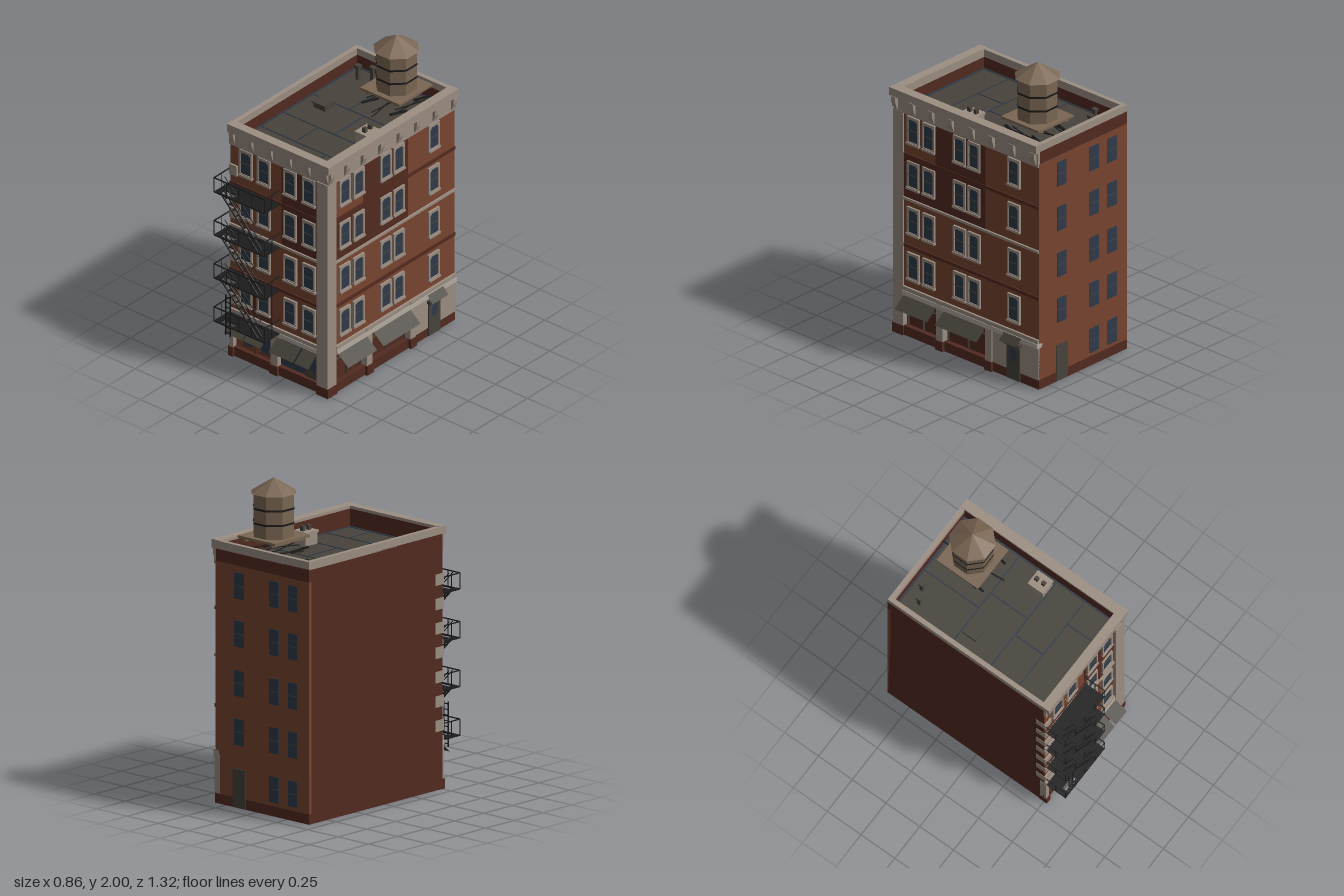
import * as THREE from 'three';

const mat = (name, color, extra = {}) => Object.assign(new THREE.MeshStandardMaterial({ color, ...extra }), { name });
const M = {
  brick: mat('brick', 0x78442f),
  dark: mat('dark brick', 0x522a21),
  stone: mat('stone', 0x9c8e82),
  pale: mat('pale stone', 0xb3aba0),
  glass: mat('glass', 0x2f3a48),
  charcoal: mat('charcoal', 0x47433b, { side: THREE.DoubleSide }),
  iron: mat('black iron', 0x1c1c1d),
  wood: mat('weathered wood', 0x7a6653),
};

function add(parent, name, geo, m, x = 0, y = 0, z = 0) {
  const mesh = new THREE.Mesh(geo, m);
  mesh.name = name;
  mesh.position.set(x, y, z);
  parent.add(mesh);
  return mesh;
}
// Box given by its two limits on each axis
const box = (p, name, m, x0, x1, y0, y1, z0, z1) =>
  add(p, name, new THREE.BoxGeometry(x1 - x0, y1 - y0, z1 - z0), m, (x0 + x1) / 2, (y0 + y1) / 2, (z0 + z1) / 2);
// Thin square bar between two points
function rod(p, name, a, b, t = 0.006) {
  const A = new THREE.Vector3(...a), B = new THREE.Vector3(...b);
  const mesh = add(p, name, new THREE.BoxGeometry(t, t, A.distanceTo(B)), M.iron);
  mesh.position.copy(A).add(B).multiplyScalar(0.5);
  mesh.lookAt(B);
  return mesh;
}
function group(parent, name, x = 0, y = 0, z = 0, ry = 0) {
  const g = new THREE.Group();
  g.name = name;
  g.position.set(x, y, z);
  g.rotation.y = ry;
  parent.add(g);
  return g;
}
// Rectangle outline with clipped upper corners
function outline(C, w, h, c) {
  return new C([[-w, -h], [w, -h], [w, h - c], [w - c, h], [c - w, h], [-w, h - c]].map(p => new THREE.Vector2(...p)));
}
const frameShape = outline(THREE.Shape, 0.05, 0.092, 0.002);
frameShape.holes.push(outline(THREE.Path, 0.037, 0.074, 0.014));
const frameGeo = new THREE.ExtrudeGeometry(frameShape, { depth: 0.014, bevelEnabled: false });

function framedWindow(p, x, y) {
  const w = group(p, 'window', x, y, 0);
  add(w, 'windowFrame', frameGeo, M.stone);
  box(w, 'windowGlass', M.glass, -0.04, 0.04, -0.078, 0.078, 0, 0.008);
  box(w, 'sashBar', M.charcoal, -0.037, 0.037, -0.003, 0.003, 0.007, 0.011);
  box(w, 'windowSill', M.stone, -0.052, 0.052, -0.094, -0.08, 0, 0.02);
}
// Sloping sheet awning in facade coordinates
function awning(p, x0, x1, y0, y1, z0, z1) {
  const sheet = add(p, 'awning', new THREE.PlaneGeometry(x1 - x0, Math.hypot(y1 - y0, z1 - z0)), M.charcoal, (x0 + x1) / 2, (y0 + y1) / 2, (z0 + z1) / 2);
  sheet.rotation.x = -Math.atan2(z1 - z0, y0 - y1);
}
function ovalPane(p, x, y, z) {
  const o = add(p, 'doorPane', new THREE.CircleGeometry(0.03, 20), M.glass, x, y, z);
  o.scale.y = 1.5;
}
const rows = [0.472, 0.772, 1.076, 1.372];

// Shared upper trim: bands between floors and cornice with brackets
function trim(f, x0, x1, brackets) {
  for (const y of [0.6, 1.2]) box(f, 'brickCourse', M.dark, x0, x1, y - 0.01, y + 0.01, 0, 0.008);
  box(f, 'beltCourse', M.stone, x0, x1, 0.902, 0.918, 0, 0.012);
  box(f, 'stoneBand', M.stone, x0, x1, 0.3, 0.328, -0.03, 0.014);
  box(f, 'shopFrieze', M.pale, x0, x1, 0.272, 0.302, -0.03, 0.018);
  const s = new THREE.Shape();
  s.moveTo(0, 0.09).lineTo(0.034, 0.09).lineTo(0.032, 0.055).lineTo(0.018, 0.012).lineTo(0, 0);
  const geo = new THREE.ExtrudeGeometry(s, { depth: 0.034, bevelEnabled: false });
  for (const x of brackets) add(f, 'corniceBracket', geo, M.stone, x + 0.017, 1.478, 0).rotation.y = -Math.PI / 2;
}

function building(root) {
  // Shell, with recessed ground floor
  box(root, 'groundFloor', M.dark, -0.43, 0.305, 0.002, 0.31, -0.655, 0.47);
  box(root, 'plinth', M.dark, -0.43, 0.338, 0, 0.062, -0.66, 0.505);
  box(root, 'upperWalls', M.brick, -0.425, 0.335, 0.3, 1.47, -0.655, 0.5);
  box(root, 'backWall', M.brick, -0.43, 0.335, 0.062, 1.49, -0.66, -0.64);
  box(root, 'leftWall', M.dark, -0.43, -0.415, 0.062, 1.56, -0.658, 0.5);
  box(root, 'cornerPier', M.stone, 0.26, 0.346, 0.062, 1.48, 0.44, 0.522);
  box(root, 'cornerPierBase', M.dark, 0.257, 0.35, 0, 0.063, 0.437, 0.526);
  // Parapet, frieze and coping
  box(root, 'leftParapet', M.dark, -0.43, -0.4, 1.46, 1.57, -0.66, 0.5);
  box(root, 'backParapet', M.dark, -0.43, 0.33, 1.49, 1.57, -0.66, -0.63);
  box(root, 'rightParapet', M.dark, 0.3, 0.325, 1.46, 1.6, -0.655, 0.495);
  box(root, 'frontParapet', M.dark, -0.425, 0.325, 1.46, 1.6, 0.475, 0.495);
  box(root, 'frontFrieze', M.stone, -0.43, 0.345, 1.47, 1.57, 0.494, 0.515);
  box(root, 'rightFrieze', M.stone, 0.324, 0.345, 1.47, 1.57, -0.66, 0.515);
  box(root, 'leftCoping', M.stone, -0.43, -0.4, 1.565, 1.615, -0.66, 0.535);
  box(root, 'backCoping', M.stone, -0.43, 0.365, 1.565, 1.615, -0.66, -0.63);
  box(root, 'rightCornice', M.stone, 0.3, 0.365, 1.565, 1.618, -0.66, 0.535);
  box(root, 'frontCornice', M.stone, -0.43, 0.365, 1.565, 1.618, 0.475, 0.535);
}

function frontFacade(root) {
  const f = group(root, 'frontFacade', 0, 0, 0.5);
  trim(f, -0.43, 0.26, [-0.4, -0.255, -0.105, 0.045, 0.19, 0.33]);
  for (const [x0, x1, y0, y1] of [[-0.03, 0.26, 0.92, 1.47], [-0.31, -0.1, 0.33, 0.6]])
    box(f, 'darkBrickPanel', M.dark, x0, x1, y0, y1, 0, 0.004);
  for (const y of rows) for (const x of [-0.305, -0.165, 0.04, 0.187]) framedWindow(f, x, y);
  // Corner quoins
  for (let y = 0.36; y < 1.4; y += 0.15) box(f, 'quoin', M.stone, -0.432, -0.372, y, y + 0.07, -0.06, 0.012);
  // Shopfronts
  for (const [x0, x1] of [[-0.43, -0.4], [-0.108, -0.052]]) {
    box(f, 'shopPier', M.stone, x0, x1, 0.06, 0.31, -0.035, 0.014);
    box(f, 'pierBase', M.dark, x0 - 0.003, x1 + 0.003, 0, 0.063, -0.035, 0.022);
  }
  box(f, 'shopPanel', M.brick, -0.4, -0.108, 0.06, 0.272, -0.03, -0.02);
  for (const x of [-0.305, -0.165]) {
    box(f, 'shopWindow', M.glass, x - 0.038, x + 0.038, 0.095, 0.2, -0.02, -0.014);
    box(f, 'windowRail', M.dark, x - 0.042, x + 0.042, 0.088, 0.096, -0.02, -0.01);
  }
  box(f, 'shopMullion', M.dark, -0.255, -0.245, 0.06, 0.272, -0.02, -0.012);
  box(f, 'displayWindow', M.glass, -0.052, 0.142, 0.065, 0.272, -0.03, -0.02);
  box(f, 'shopDoor', M.charcoal, 0.142, 0.26, 0.01, 0.272, -0.03, -0.014);
  ovalPane(f, 0.207, 0.16, -0.012);
  awning(f, -0.4, -0.255, 0.272, 0.205, 0.02, 0.1);
  awning(f, -0.25, -0.112, 0.272, 0.205, 0.02, 0.1);
  awning(f, -0.05, 0.14, 0.272, 0.205, 0.02, 0.1);
  awning(f, 0.15, 0.26, 0.272, 0.205, 0.02, 0.1);
}

function sideFacade(root) {
  // Local x runs towards the back
  const f = group(root, 'sideFacade', 0.335, 0, 0, Math.PI / 2);
  trim(f, -0.44, 0.66, [-0.5, -0.355, -0.2, -0.04, 0.13, 0.29, 0.46, 0.63]);
  box(f, 'darkBrickPanel', M.dark, -0.44, 0.225, 0.92, 1.19, 0, 0.004);
  box(f, 'darkBrickPanel', M.dark, -0.18, 0.225, 1.21, 1.47, 0, 0.004);
  for (const y of rows) for (const x of [-0.36, -0.233, 0.017, 0.135, 0.46]) framedWindow(f, x, y);
  // Shopfronts
  for (const [x0, x1] of [[-0.167, -0.113], [0.235, 0.285]]) {
    box(f, 'shopPier', M.stone, x0, x1, 0.06, 0.325, -0.035, 0.016);
    box(f, 'pierBase', M.dark, x0 - 0.003, x1 + 0.003, 0, 0.063, -0.035, 0.022);
  }
  for (const [x0, x1] of [[-0.44, -0.167], [-0.113, 0.235]]) {
    const mid = (x0 + x1) / 2;
    for (const x of [x0 + 0.01, mid, x1 - 0.01]) box(f, 'shopMullion', M.charcoal, x - 0.004, x + 0.004, 0.06, 0.272, -0.03, -0.02);
    box(f, 'shopRail', M.charcoal, x0, x1, 0.2, 0.207, -0.03, -0.02);
  }
  awning(f, -0.43, -0.165, 0.272, 0.205, 0.015, 0.095);
  awning(f, -0.105, 0.235, 0.272, 0.205, 0.015, 0.095);
  // Stone entrance
  box(f, 'entranceWall', M.stone, 0.28, 0.66, 0.062, 0.305, -0.04, 0.008);
  box(f, 'sideDoor', M.charcoal, 0.408, 0.512, 0.005, 0.24, 0, 0.014);
  ovalPane(f, 0.46, 0.17, 0.016);
  awning(f, 0.388, 0.532, 0.3, 0.255, 0.02, 0.06);
  box(f, 'doorLintel', M.charcoal, 0.395, 0.525, 0.235, 0.255, 0, 0.035);
}

function backFacade(root) {
  const f = group(root, 'backFacade', 0, 0, -0.66, Math.PI);
  for (const x of [-0.14, 0.145, 0.3]) for (const y of [0.165, ...rows.map(r => r - 0.005)]) {
    if (x < 0 && y < 0.2) continue;
    box(f, 'backWindow', M.glass, x - 0.04, x + 0.04, y - 0.08, y + 0.08, -0.003, 0.003);
    box(f, 'backSash', M.charcoal, x - 0.04, x + 0.04, y - 0.003, y + 0.003, 0, 0.005);
  }
  box(f, 'backDoor', M.charcoal, -0.19, -0.09, 0.005, 0.24, -0.003, 0.005);
}

function roof(root) {
  const r = group(root, 'roof', 0, 1.49, 0);
  box(r, 'roofDeck', M.charcoal, -0.4, 0.3, -0.02, 0, -0.63, 0.475);
  // Tar seams: x0, x1, z0, z1
  for (const [x0, x1, z0, z1] of [[-0.4, 0.3, -0.222, -0.214], [-0.4, 0.3, 0.052, 0.06], [-0.4, 0.3, 0.262, 0.27],
    [-0.116, -0.108, -0.63, -0.22], [0.001, 0.009, -0.22, 0.055], [-0.126, -0.118, 0.06, 0.265], [0.114, 0.122, 0.265, 0.475],
    [-0.4, -0.388, -0.63, 0.475], [0.29, 0.3, -0.63, 0.475], [-0.4, 0.3, -0.63, -0.618], [-0.4, 0.3, 0.46, 0.475]])
    box(r, 'tarSeam', M.glass, x0, x1, 0, 0.003, z0, z1);
  box(r, 'hatchCurb', M.charcoal, -0.298, -0.206, 0, 0.03, -0.198, -0.106);
  box(r, 'hatchLid', M.charcoal, -0.305, -0.2, 0.03, 0.04, -0.205, -0.1);
  box(r, 'chimney', M.stone, 0.165, 0.26, 0, 0.07, -0.055, 0.05);
  box(r, 'chimneyCap', M.stone, 0.16, 0.265, 0.07, 0.085, -0.06, 0.055);
  for (const z of [-0.03, 0.02]) box(r, 'flue', M.charcoal, 0.2, 0.223, 0.08, 0.115, z - 0.012, z + 0.012);
  for (const [x, z] of [[-0.3, -0.52], [-0.22, -0.56]]) {
    box(r, 'ventPipe', M.charcoal, x - 0.01, x + 0.01, 0, 0.08, z - 0.01, z + 0.01);
    box(r, 'ventCap', M.charcoal, x - 0.016, x + 0.016, 0.08, 0.1, z - 0.016, z + 0.016);
  }
}

function waterTank(root) {
  const t = group(root, 'waterTank', 0.088, 0, -0.415);
  const oct = (name, m, r0, r1, y0, y1) =>
    add(t, name, new THREE.CylinderGeometry(r1, r0, y1 - y0, 8).toNonIndexed(), m, 0, (y0 + y1) / 2, 0).rotation.y = Math.PI / 8;
  const flat = Object.assign(M.wood, { flatShading: true });
  oct('tankBody', flat, 0.128, 0.128, 1.645, 1.915);
  oct('tankRoof', flat, 0.143, 0.001, 1.91, 2);
  for (const y of [1.73, 1.82]) oct('tankHoop', M.iron, 0.131, 0.131, y - 0.006, y + 0.006);
  box(t, 'tankPlatform', M.wood, -0.153, 0.153, 1.63, 1.645, -0.153, 0.153);
  for (const s of [-1, 1]) {
    box(t, 'platformBeam', M.wood, s * 0.11 - 0.01, s * 0.11 + 0.01, 1.612, 1.63, -0.14, 0.14);
    for (const q of [-1, 1]) rod(t, 'tankLeg', [s * 0.11, 1.488, q * 0.11], [s * 0.11, 1.615, q * 0.11], 0.012);
    for (const q of [-1, 1]) {
      rod(t, 'legBrace', [-0.11, q > 0 ? 1.5 : 1.61, s * 0.11], [0.11, q > 0 ? 1.61 : 1.5, s * 0.11], 0.005);
      rod(t, 'legBrace', [s * 0.11, q > 0 ? 1.5 : 1.61, -0.11], [s * 0.11, q > 0 ? 1.61 : 1.5, 0.11], 0.005);
    }
  }
}

function fireEscape(root) {
  const e = group(root, 'fireEscape');
  const x0 = -0.427, x1 = -0.035, z0 = 0.515, z1 = 0.656;
  for (const y of [0.3, 0.6, 0.9, 1.2]) {
    // Landing with a stair opening
    box(e, 'landing', M.iron, x0, x1, y - 0.004, y + 0.004, z0, 0.603);
    box(e, 'landing', M.iron, x0, x1, y - 0.004, y + 0.004, 0.642, z1);
    box(e, 'landing', M.iron, x0, -0.388, y - 0.004, y + 0.004, 0.603, 0.642);
    box(e, 'landing', M.iron, -0.29, x1, y - 0.004, y + 0.004, 0.603, 0.642);
    // Railing
    for (const h of [0.05, 0.1]) {
      if (h === 0.1) rod(e, 'rail', [x0, y + h, z1], [x1, y + h, z1]);
      for (const x of [x0, x1]) if (h === 0.1) rod(e, 'rail', [x, y + h, z0], [x, y + h, z1]);
    }
    for (let i = 0; i <= 4; i++) rod(e, 'railPost', [x0 + (x1 - x0) * i / 4, y, z1], [x0 + (x1 - x0) * i / 4, y + 0.1, z1], 0.004);
    for (const x of [x0, x1]) rod(e, 'railPost', [x, y, 0.585], [x, y + 0.1, 0.585], 0.004);
    if (y < 0.5) continue;
    // Stair flight down to the landing below
    for (const z of [0.607, 0.64]) {
      rod(e, 'stringer', [-0.388, y, z], [-0.1, y - 0.3, z], 0.008);
      rod(e, 'handrail', [-0.385, y + 0.1, z], [-0.1, y - 0.2, z], 0.004);
    }
    for (let i = 1; i < 10; i++) rod(e, 'tread', [-0.388 + 0.0288 * i, y - 0.03 * i, 0.607], [-0.388 + 0.0288 * i, y - 0.03 * i, 0.64], 0.009);
  }
  // Drop ladder
  for (const x of [-0.358, -0.322]) rod(e, 'ladderRail', [x, 0.22, 0.63], [x, 0.5, 0.63]);
  for (let y = 0.24; y < 0.5; y += 0.035) rod(e, 'ladderRung', [-0.358, y, 0.63], [-0.322, y, 0.63], 0.005);
}

export function createModel() {
  const root = new THREE.Group();
  root.name = 'cornerBuilding';
  for (const part of [building, frontFacade, sideFacade, backFacade, roof, waterTank, fireEscape]) part(root);
  return root;
}
